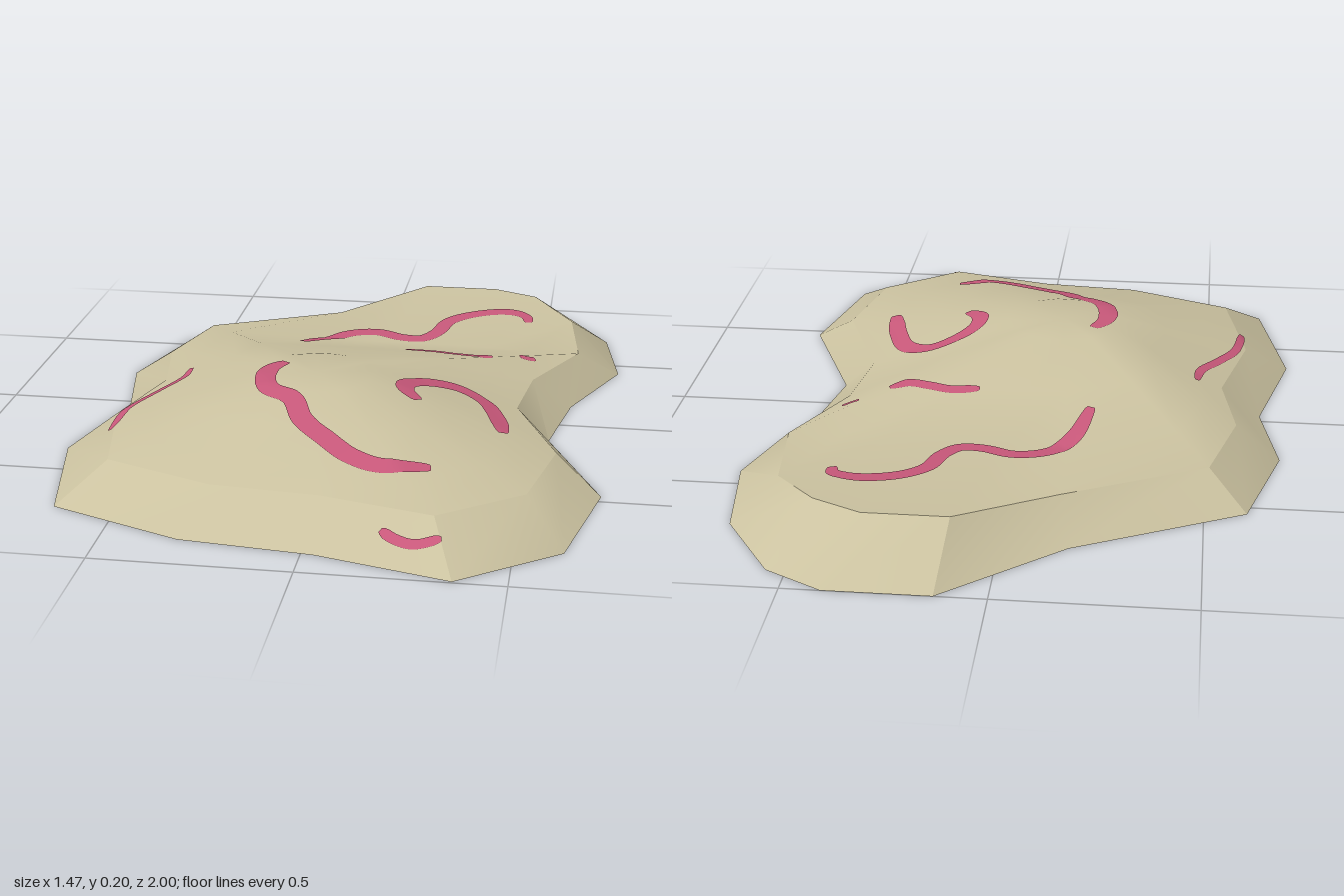
import * as THREE from 'three';
import { toCreasedNormals } from 'three/addons/utils/BufferGeometryUtils.js';

// Ground outline and upper rim, as [x, z], clockwise from the back
const OUTLINE = [
  [0.13, -1], [0.4, -1], [0.55, -0.92], [0.69, -0.71], [0.73, -0.43], [0.6, -0.14],
  [0.55, 0.12], [0.7, 0.47], [0.62, 0.81], [0.37, 0.995], [0.03, 0.905], [-0.31, 0.87],
  [-0.66, 0.73], [-0.735, 0.36], [-0.65, 0.03], [-0.7, -0.23], [-0.61, -0.535], [-0.17, -0.75],
];
const RIM = [
  [0.11, -0.83], [0.33, -0.83], [0.46, -0.77], [0.58, -0.62], [0.61, -0.36], [0.49, -0.12],
  [0.46, 0.1], [0.58, 0.4], [0.52, 0.67], [0.31, 0.825], [0.02, 0.75], [-0.26, 0.725],
  [-0.55, 0.61], [-0.61, 0.3], [-0.54, 0.03], [-0.58, -0.2], [-0.51, -0.45], [-0.14, -0.63],
];
// Low saddle between the hill and the raised back lobe, by rim index
const SADDLE = { 17: [-0.14, -0.38], 0: [0.03, -0.38], 1: [0.2, -0.38], 2: [0.34, -0.37], 3: [0.46, -0.36] };
const N = RIM.length;
const RIM_Y = 0.085, LOBE_Y = 0.12, TOP_Y = 0.2;

// Surface between closed rings that run from the outside inwards
function loft(rings) {
  const index = [];
  for (let r = 0; r < rings.length - 1; r++) {
    for (let i = 0; i < N; i++) {
      const j = (i + 1) % N;
      const a = r * N + i, b = r * N + j, c = a + N, d = b + N;
      index.push(a, c, b, b, c, d);
    }
  }
  const geo = new THREE.BufferGeometry();
  geo.setAttribute('position', new THREE.Float32BufferAttribute(
    rings.flat().flatMap((p) => [p.x, p.y, p.z]), 3));
  geo.setIndex(index);
  geo.computeVertexNormals();
  return geo;
}

// Ribbon that follows the ground, with one layer above it and one below
function ribbon(points, width, heightAt) {
  const curve = new THREE.CatmullRomCurve3(points.map(([x, z]) => new THREE.Vector3(x, 0, z)));
  const steps = points.length * 8;
  const pos = [], index = [];
  for (const lift of [0.003, -0.003]) {
    const base = pos.length / 3;
    for (let s = 0; s <= steps; s++) {
      const t = s / steps;
      const p = curve.getPointAt(t), tan = curve.getTangentAt(t);
      // narrows towards rounded ends
      const half = width / 2 * (0.45 + 0.55 * Math.sqrt(Math.min(1, 8 * Math.min(t, 1 - t))));
      for (const k of [-1, 0, 1]) {
        const x = p.x - tan.z * half * k, z = p.z + tan.x * half * k;
        pos.push(x, heightAt(x, z) + lift, z);
      }
      if (s === steps) continue;
      for (const k of [0, 1]) {
        const a = base + s * 3 + k;
        index.push(a, a + 3, a + 1, a + 1, a + 3, a + 4);
      }
    }
  }
  const geo = new THREE.BufferGeometry();
  geo.setAttribute('position', new THREE.Float32BufferAttribute(pos, 3));
  geo.setIndex(index);
  // make every face look upwards
  geo.computeVertexNormals();
  if (geo.attributes.normal.getY(1) < 0) {
    geo.setIndex(index.slice().reverse());
    geo.computeVertexNormals();
  }
  return geo;
}

export function createModel() {
  const group = new THREE.Group();
  const stone = new THREE.MeshStandardMaterial({ color: 0xcbc2a0, side: THREE.DoubleSide });
  stone.name = 'sandy stone';
  const pink = new THREE.MeshStandardMaterial({ color: 0xc8587a, side: THREE.DoubleSide });
  pink.name = 'deep pink';

  const add = (name, geo, mat) => {
    const mesh = new THREE.Mesh(geo, mat);
    mesh.name = name;
    group.add(mesh);
    return mesh;
  };

  // Rings of the mound
  const foot = OUTLINE.map(([x, z]) => new THREE.Vector3(x, 0, z));
  const rim = RIM.map(([x, z], i) => new THREE.Vector3(x, i < 3 ? LOBE_Y : i === 3 ? 0.095 : RIM_Y, z));
  const centre = new THREE.Vector3(-0.08, TOP_Y, 0.21);
  const plateau = rim.map((p) => {
    const a = Math.atan2(p.z - centre.z, p.x - centre.x);
    return new THREE.Vector3(centre.x + 0.16 * Math.cos(a), TOP_Y, centre.z + 0.15 * Math.sin(a));
  });
  const saddle = rim.map((p, i) => (SADDLE[i]
    ? new THREE.Vector3(SADDLE[i][0], RIM_Y, SADDLE[i][1])
    : p.clone().lerp(plateau[i], 0.25)));
  const slope = saddle.map((p, i) => p.clone().lerp(plateau[i], 0.5));
  const peak = rim.map(() => centre.clone());

  // Steep border and smooth upper ground
  const border = add('border', toCreasedNormals(loft([foot, rim]), 0.4), stone);
  const mound = add('mound', loft([rim, saddle, slope, plateau, peak]), stone);

  // Ground height under a point
  const ray = new THREE.Raycaster();
  const down = new THREE.Vector3(0, -1, 0);
  const heightAt = (x, z) => {
    ray.set(new THREE.Vector3(x, 1, z), down);
    const hit = ray.intersectObjects([mound, border])[0];
    return hit ? hit.point.y : 0;
  };

  // Winding pink trails
  const trails = {
    backTrail: [0.046, [[-0.19, -0.22], [-0.15, -0.34], [-0.08, -0.42], [0, -0.44], [0.08, -0.41], [0.14, -0.41],
      [0.18, -0.46], [0.21, -0.55], [0.28, -0.61], [0.38, -0.635], [0.44, -0.61], [0.45, -0.57]]],
    frontTrail: [0.056, [[-0.17, 0.15], [-0.2, 0.2], [-0.205, 0.27], [-0.18, 0.34], [-0.11, 0.39], [-0.07, 0.47],
      [0, 0.54], [0.08, 0.61], [0.16, 0.645], [0.28, 0.63]]],
    hookTrail: [0.05, [[0.21, 0.3], [0.17, 0.25], [0.17, 0.2], [0.22, 0.14], [0.3, 0.11], [0.37, 0.15],
      [0.41, 0.24], [0.44, 0.37]]],
    middleTrail: [0.032, [[0.12, -0.16], [0.2, -0.165], [0.26, -0.15], [0.32, -0.14], [0.37, -0.16]]],
    shortTrail: [0.02, [[0.445, -0.215], [0.47, -0.22], [0.49, -0.23]]],
    rightTrail: [0.024, [[-0.47, 0.01], [-0.48, 0.08], [-0.53, 0.17], [-0.58, 0.27], [-0.6, 0.41]]],
    borderTrail: [0.026, [[0.185, 0.855], [0.22, 0.88], [0.27, 0.898], [0.335, 0.888]]],
  };
  group.updateMatrixWorld(true);
  for (const [name, [width, points]] of Object.entries(trails)) {
    add(name, ribbon(points, width, heightAt), pink);
  }
  return group;
}
